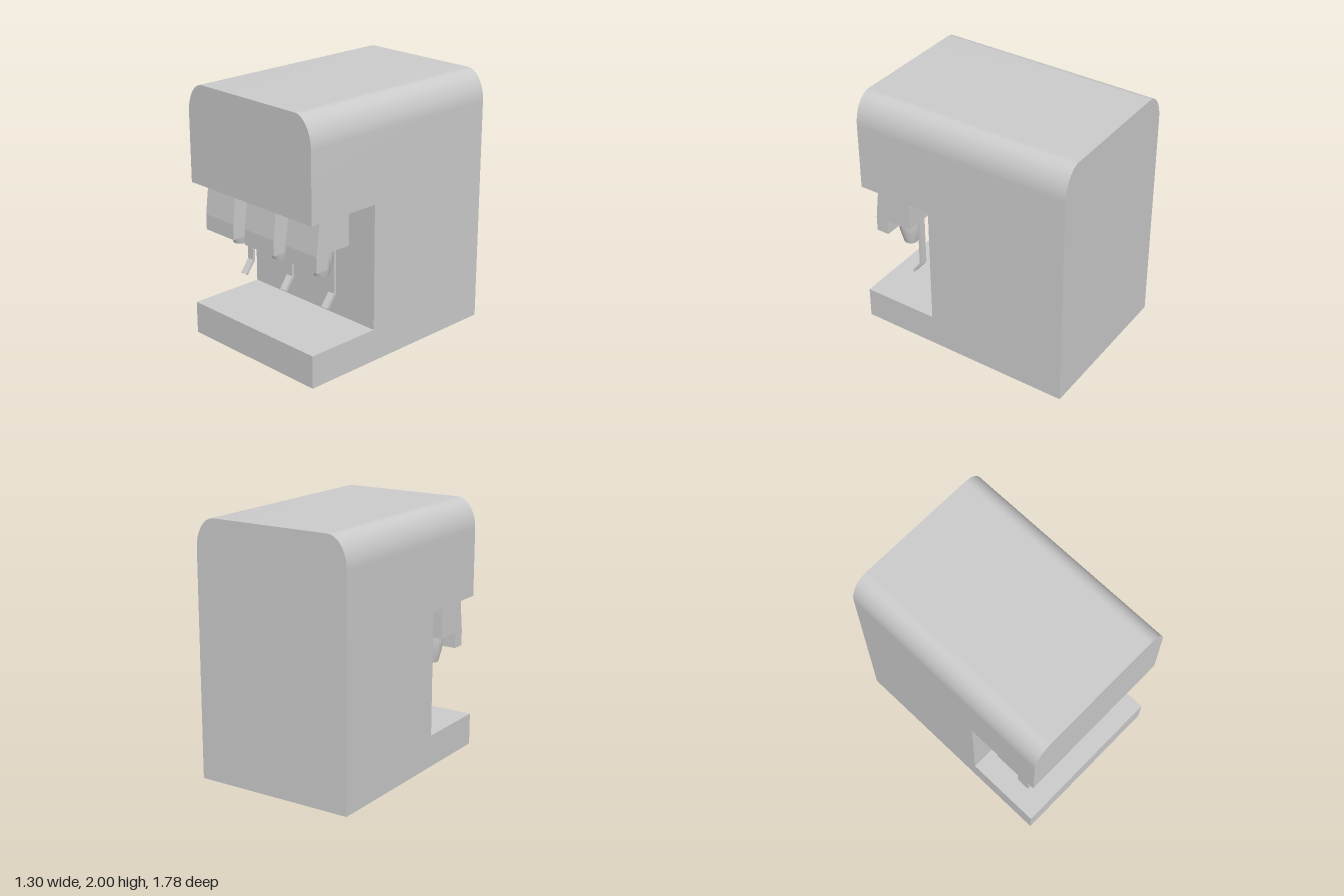
import * as THREE from 'three';
import { toCreasedNormals } from 'three/addons/utils/BufferGeometryUtils.js';

const material = new THREE.MeshStandardMaterial({ color: 0xcccccc });

function part(name, geometry) {
  const mesh = new THREE.Mesh(geometry, material);
  mesh.name = name;
  return mesh;
}

// Extrude a side outline of [z, y] points across the width, centred on x = 0
function sideProfile(points, width) {
  const shape = new THREE.Shape(points.map(([z, y]) => new THREE.Vector2(z, y)));
  const geometry = new THREE.ExtrudeGeometry(shape, { depth: width, bevelEnabled: false });
  geometry.translate(0, 0, -width / 2);
  geometry.rotateY(-Math.PI / 2);
  return geometry;
}

const HALF_W = 0.648, HALF_D = 0.888;
const BASE_TOP = 0.254, HEAD_BOTTOM = 1.23, COLUMN_FRONT = 0.272;

// Upper housing with elliptical top corners, running the full depth
function upperHousing() {
  const rx = 0.16, ry = 0.235;
  const shape = new THREE.Shape();
  shape.moveTo(-HALF_W, HEAD_BOTTOM);
  shape.lineTo(HALF_W, HEAD_BOTTOM);
  shape.lineTo(HALF_W, 2 - ry);
  shape.absellipse(HALF_W - rx, 2 - ry, rx, ry, 0, Math.PI / 2, false, 0);
  shape.lineTo(-HALF_W + rx, 2);
  shape.absellipse(-HALF_W + rx, 2 - ry, rx, ry, Math.PI / 2, Math.PI, false, 0);
  const geometry = new THREE.ExtrudeGeometry(shape, {
    depth: HALF_D * 2, bevelEnabled: false, curveSegments: 16,
  });
  geometry.translate(0, 0, -HALF_D);
  return part('upperHousing', toCreasedNormals(geometry, 0.5));
}

// One dispensing valve: block, nozzle and push lever
function valve(x) {
  const group = new THREE.Group();
  group.name = 'valve';

  group.add(part('valveBlock', sideProfile([
    [0.484, HEAD_BOTTOM], [0.484, 0.966], [0.696, 0.966], [0.696, 0.842],
    [0.8, 0.842], [0.8, 0.965], [0.767, HEAD_BOTTOM],
  ], 0.315)));

  const outline = [[0, 0.735], [0.054, 0.735], [0.083, 0.842], [0.088, 0.9], [0.09, 0.966]];
  const lathe = new THREE.LatheGeometry(outline.map(([r, y]) => new THREE.Vector2(r, y)), 32);
  const nozzle = part('nozzle', toCreasedNormals(lathe, 0.6));
  nozzle.position.z = 0.603;
  group.add(nozzle);

  group.add(part('lever', sideProfile([
    [0.488, 0.97], [0.488, 0.553], [0.564, 0.452], [0.58, 0.464],
    [0.509, 0.562], [0.509, 0.97],
  ], 0.058)));

  group.position.x = x;
  return group;
}

export function createModel() {
  const model = new THREE.Group();
  model.name = 'drinkDispenser';

  // Drip base and rear column as one L-shaped piece
  model.add(part('baseAndColumn', sideProfile([
    [-HALF_D, 0], [HALF_D, 0], [HALF_D, BASE_TOP], [COLUMN_FRONT, BASE_TOP],
    [COLUMN_FRONT, HEAD_BOTTOM], [-HALF_D, HEAD_BOTTOM],
  ], HALF_W * 2)));
  model.add(upperHousing());

  for (const x of [-0.445, 0, 0.445]) model.add(valve(x));
  return model;
}
